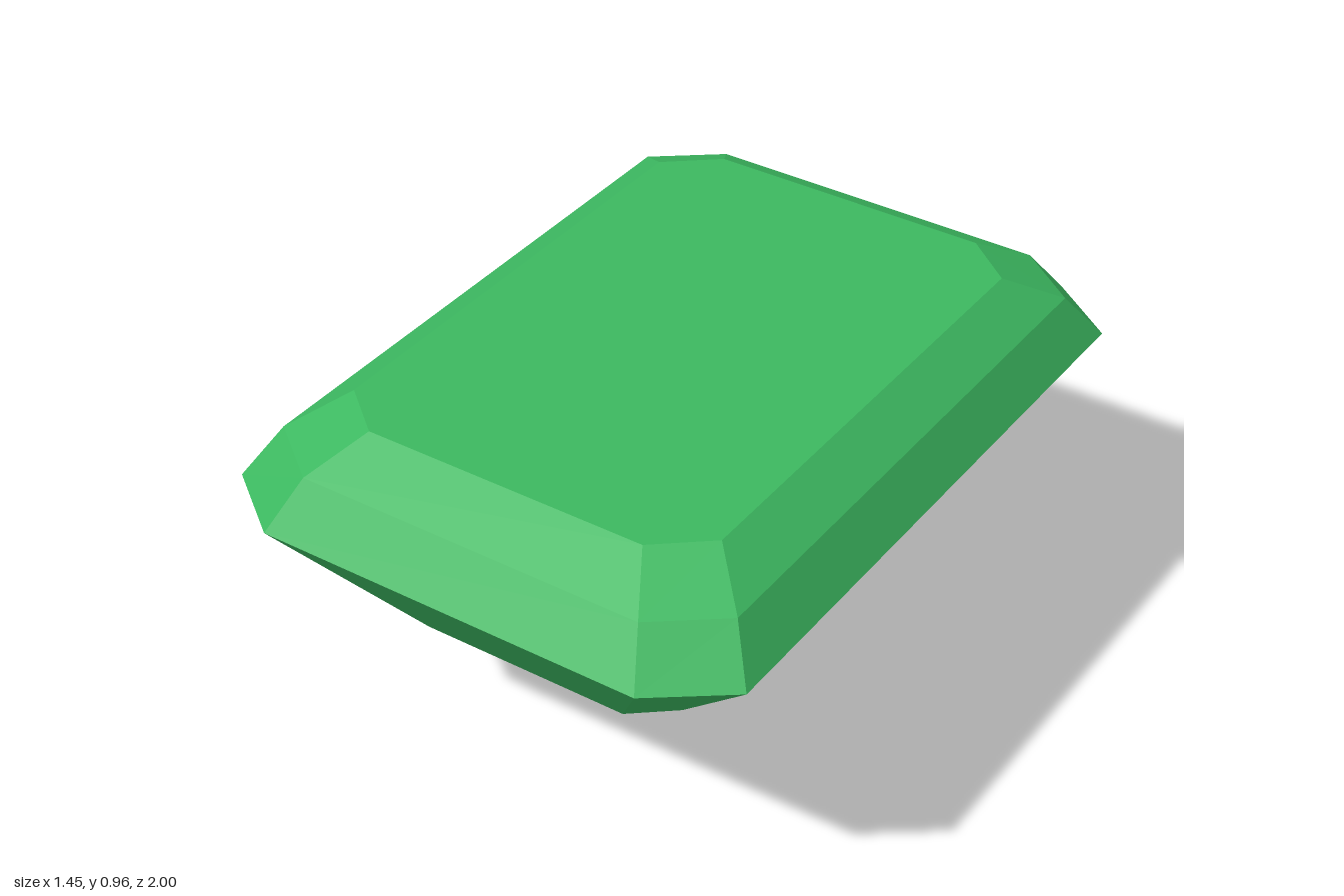
import * as THREE from 'three';

// Octagonal ring, counterclockwise from above: outer half sizes hx, hz; cut corners start at cx, cz
function ring(y, hx, hz, cx, cz) {
  return [
    [hx, cz], [hx, -cz], [cx, -hz], [-cx, -hz],
    [-hx, -cz], [-hx, cz], [-cx, hz], [cx, hz],
  ].map(([x, z]) => new THREE.Vector3(x, y, z));
}

// Flat facets between successive rings (bottom to top), optionally capped on top
function facets(rings, capped) {
  const points = [];
  const tri = (a, b, c) => {
    const t = new THREE.Triangle(a, b, c);
    if (t.getArea() > 1e-6) points.push(a, b, c);
  };
  for (let r = 0; r < rings.length - 1; r++) {
    const lo = rings[r], hi = rings[r + 1];
    for (let i = 0; i < 8; i++) {
      const j = (i + 1) % 8;
      tri(lo[i], lo[j], hi[j]);
      tri(lo[i], hi[j], hi[i]);
    }
  }
  if (capped) {
    const top = rings[rings.length - 1];
    for (let i = 1; i < 7; i++) tri(top[0], top[i], top[i + 1]);
  }
  const geometry = new THREE.BufferGeometry().setFromPoints(points);
  geometry.computeVertexNormals();
  return geometry;
}

export function createModel() {
  const group = new THREE.Group();
  group.name = 'emeraldCutGem';

  const green = new THREE.MeshStandardMaterial({ color: 0x3cb860 });
  green.name = 'emerald green';
  green.flatShading = true;

  const keel = ring(0, 0, 0.29, 0, 0.29);
  const lowerStep = ring(0.38, 0.4, 0.71, 0.29, 0.62);
  const girdle = ring(0.757, 0.725, 1, 0.528, 0.853);
  const upperStep = ring(0.882, 0.648, 0.905, 0.475, 0.772);
  const table = ring(0.964, 0.525, 0.76, 0.388, 0.648);

  // Pavilion: stepped underside tapering to a keel line
  const pavilion = new THREE.Mesh(facets([keel, lowerStep, girdle], false), green);
  pavilion.name = 'pavilion';

  // Crown: two bevel steps and the flat table
  const crown = new THREE.Mesh(facets([girdle, upperStep, table], true), green);
  crown.name = 'crown';

  group.add(pavilion, crown);
  return group;
}
